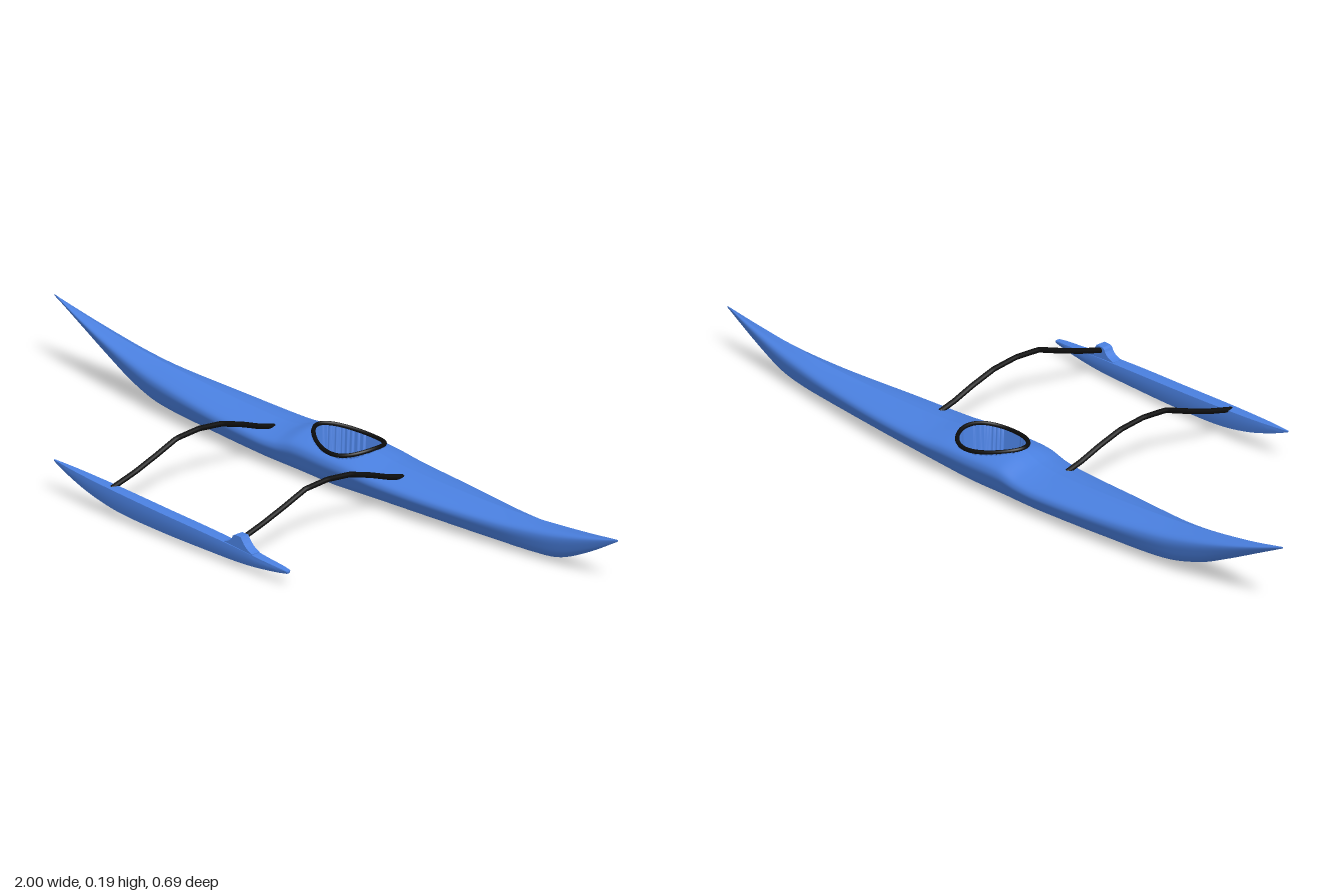
import * as THREE from 'three';
import { toCreasedNormals } from 'three/addons/utils/BufferGeometryUtils.js';

const HULL_Z = -0.253;
const FLOAT_Z = 0.327;

// Smooth lookup in a table of rows [x, ...values]
function sample(rows, x) {
  let i = 0;
  while (i < rows.length - 2 && x > rows[i + 1][0]) i++;
  const a = rows[i], b = rows[i + 1];
  const p = rows[Math.max(i - 1, 0)], n = rows[Math.min(i + 2, rows.length - 1)];
  const d = b[0] - a[0], t = (x - a[0]) / d, t2 = t * t, t3 = t2 * t;
  return a.slice(1).map((v, k) => {
    const c = k + 1;
    const m0 = (b[c] - p[c]) / (b[0] - p[0]) * d;
    const m1 = (n[c] - a[c]) / (n[0] - a[0]) * d;
    return v * (2 * t3 - 3 * t2 + 1) + m0 * (t3 - 2 * t2 + t) + b[c] * (3 * t2 - 2 * t3) + m1 * (t3 - t2);
  });
}

// Skin closed mirrored sections; half(x) gives [offset, y] pairs from keel to deck
function loft(xs, half) {
  const pos = [], idx = [];
  let n = 0;
  xs.forEach((x) => {
    const h = half(x);
    const ring = [...h, ...h.slice(1, -1).reverse().map(([o, y]) => [-o, y])];
    n = ring.length;
    ring.forEach(([o, y]) => pos.push(x, y, o));
  });
  for (let i = 0; i < xs.length - 1; i++) {
    for (let j = 0; j < n; j++) {
      const a = i * n + j, b = i * n + (j + 1) % n;
      idx.push(a, a + n, b, b, a + n, b + n);
    }
  }
  const g = new THREE.BufferGeometry();
  g.setAttribute('position', new THREE.Float32BufferAttribute(pos, 3));
  g.setIndex(idx);
  g.computeVertexNormals();
  return g;
}

// Egg-shaped cockpit outline: half width at x
const COCKPIT_X = 0.035, COCKPIT_R = 0.099;
function cockpitHalf(x) {
  const c = (x - COCKPIT_X) / COCKPIT_R;
  return Math.abs(c) >= 1 ? 0 : 0.074 * Math.sqrt(1 - c * c) * (1 + 0.25 * c);
}

// x, keel height, deck height, half width
const HULL = [
  [-1, 0.183, 0.187, 0], [-0.9, 0.133, 0.165, 0.016], [-0.8, 0.083, 0.147, 0.03],
  [-0.7, 0.038, 0.132, 0.042], [-0.6, 0.013, 0.12, 0.054], [-0.4, 0.009, 0.104, 0.076],
  [-0.2, 0.006, 0.095, 0.089], [-0.13, 0.005, 0.1, 0.091], [-0.065, 0.003, 0.117, 0.092],
  [0.05, 0.001, 0.114, 0.093], [0.13, 0.004, 0.109, 0.092], [0.22, 0.008, 0.098, 0.089],
  [0.4, 0.009, 0.092, 0.076], [0.6, 0.006, 0.092, 0.052], [0.72, 0.007, 0.098, 0.036],
  [0.8, 0.02, 0.104, 0.026], [0.9, 0.064, 0.113, 0.013], [1, 0.12, 0.124, 0],
];

// x, underside height, top height, half width
const FLOAT = [
  [-0.39, 0.087, 0.091, 0.002], [-0.33, 0.064, 0.088, 0.009], [-0.25, 0.04, 0.084, 0.014],
  [-0.15, 0.023, 0.079, 0.017], [0, 0.016, 0.071, 0.018], [0.15, 0.015, 0.064, 0.018],
  [0.28, 0.016, 0.056, 0.016], [0.36, 0.022, 0.048, 0.013], [0.44, 0.033, 0.041, 0.007],
  [0.442, 0.037, 0.037, 0],
];

function hullSection(x) {
  const [b, t, w] = sample(HULL, x);
  const e = x * x, h = t - b;
  const curve = new THREE.SplineCurve([
    [0, 0], [0.68 - 0.25 * e, 0.1 + 0.08 * e], [0.95 - 0.1 * e, 0.45], [1, 0.66],
    [0.86, 0.82 - 0.05 * e], [0.42, 0.955 - 0.1 * e], [0, 1],
  ].map(([o, f]) => new THREE.Vector2(o * w, b + f * h)));
  const open = cockpitHalf(x);
  return curve.getPoints(48).map((p, k, all) => {
    const o = k === 0 || k === all.length - 1 ? 0 : Math.max(p.x, 0);
    // Deck points inside the cockpit sink to its floor
    const sunk = p.y > b + 0.66 * h && o < open;
    return [o, sunk ? 0.022 + 0.035 * (o / 0.08) ** 4 : p.y];
  });
}

function floatSection(x) {
  const [b, t, w] = sample(FLOAT, x);
  return [[0, 0], [0.6, 0.02], [0.85, 0.3], [1, 0.72], [0.92, 0.97], [0, 1]]
    .map(([o, f]) => [o * w, b + f * (t - b)]);
}

export function createModel() {
  const model = new THREE.Group();
  const blue = new THREE.MeshStandardMaterial({ color: 0x4a80e0, side: THREE.DoubleSide });
  const black = new THREE.MeshStandardMaterial({ color: 0x0c0c0c });
  const add = (name, geometry, material, x = 0, y = 0, z = 0) => {
    const mesh = new THREE.Mesh(geometry, material);
    mesh.name = name;
    mesh.position.set(x, y, z);
    model.add(mesh);
    return mesh;
  };

  // Main hull, with stations packed closer around the cockpit
  const stations = Array.from({ length: 221 }, (_, i) => {
    const s = i / 110 - 1;
    return 0.4 * s + 0.6 * s ** 3;
  });
  add('hull', loft(stations, hullSection), blue, 0, 0, HULL_Z);

  // Cockpit rim, draped over the deck
  const rim = Array.from({ length: 32 }, (_, i) => {
    const a = i / 32 * Math.PI * 2;
    const x = COCKPIT_X + COCKPIT_R * Math.cos(a);
    const z = Math.sign(Math.sin(a)) * cockpitHalf(x) * 1.01;
    return new THREE.Vector3(x, 0.119 - 0.016 * (z / 0.078) ** 2 - 0.04 * (x + 0.065), z);
  });
  add('cockpitRim', new THREE.TubeGeometry(new THREE.CatmullRomCurve3(rim, true), 96, 0.0055, 8, true),
    black, 0, 0, HULL_Z);

  // Outrigger float
  const floatXs = Array.from({ length: 40 }, (_, i) => -0.39 + 0.83 * i / 39).concat(0.442);
  add('outriggerFloat', toCreasedNormals(loft(floatXs, floatSection), 0.5), blue, 0, 0, FLOAT_Z);

  // Raised mount on the float for the rear arm
  const mount = new THREE.Shape();
  mount.moveTo(-0.05, 0.045);
  mount.lineTo(-0.05, 0.06);
  mount.quadraticCurveTo(-0.025, 0.064, -0.018, 0.083);
  mount.lineTo(-0.012, 0.087);
  mount.lineTo(0.01, 0.087);
  mount.quadraticCurveTo(0.025, 0.06, 0.05, 0.053);
  mount.lineTo(0.05, 0.045);
  add('armMount', new THREE.ExtrudeGeometry(mount, { depth: 0.026, bevelEnabled: false, curveSegments: 6 }),
    blue, 0.275, 0, FLOAT_Z - 0.013);

  // Two arched arms joining hull and float
  [['frontArm', -0.185, 0.326], ['rearArm', 0.272, 0.318]].forEach(([name, x, end]) => {
    const path = new THREE.CurvePath();
    const pts = [[end, 0.076], [0.25, 0.096], [0.18, 0.12], [0.11, 0.146], [0.035, 0.151],
      [-0.04, 0.143], [-0.11, 0.122], [-0.17, 0.1], [-0.215, 0.088]]
      .map(([z, y]) => new THREE.Vector3(0, y, z));
    for (let i = 1; i < pts.length; i++) path.add(new THREE.LineCurve3(pts[i - 1], pts[i]));
    add(name, new THREE.TubeGeometry(path, 48, 0.007, 10), black, x);
    // Rounded tips
    [pts[0], pts[pts.length - 1]].forEach((p) =>
      add(name + 'Tip', new THREE.SphereGeometry(0.007, 10, 8), black, x, p.y, p.z));
  });

  return model;
}
